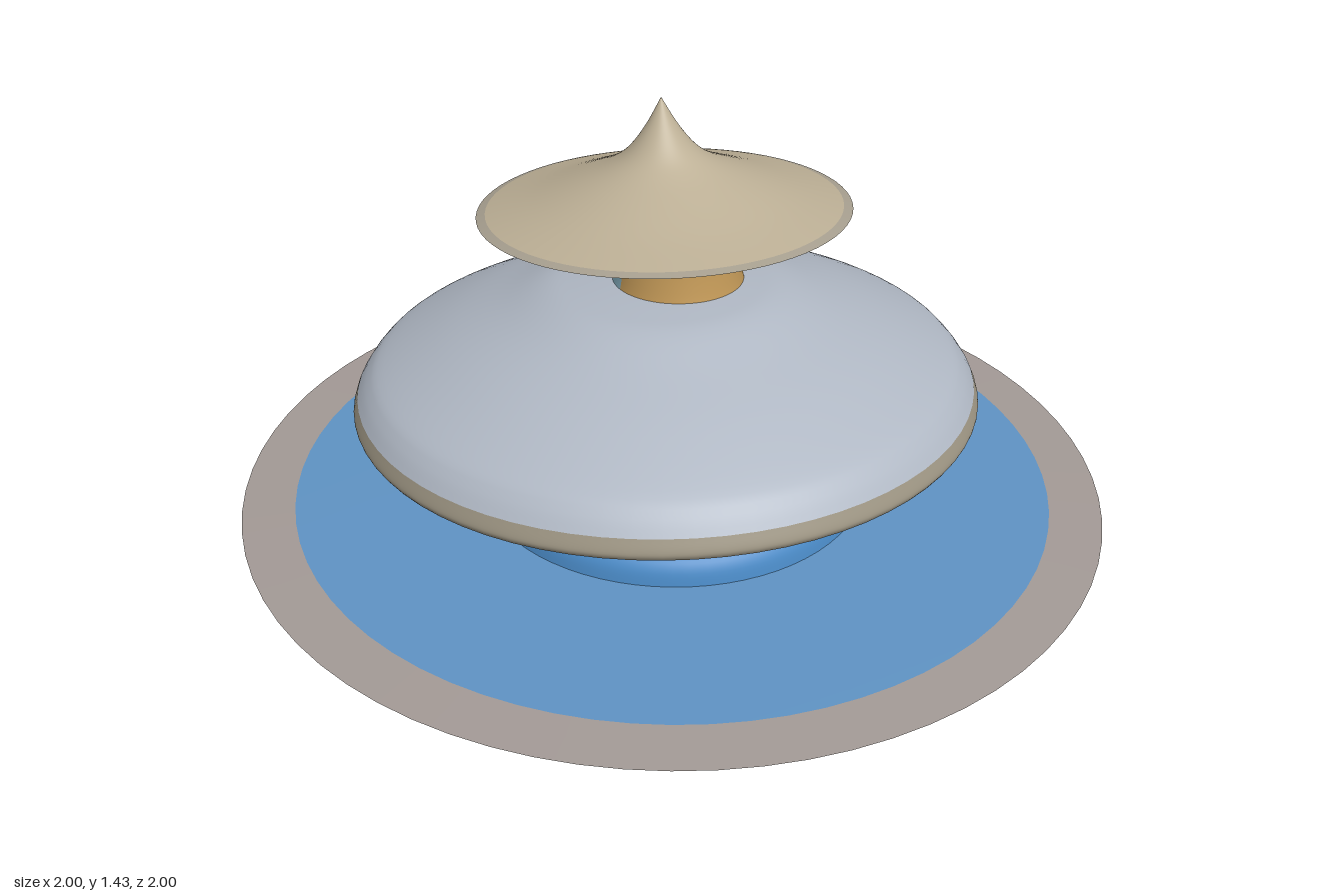
import * as THREE from 'three';

// Turned part: smooth curve through [radius, height] points.
// Points run outward for undersides, inward/upward for tops, so faces point outside.
function turned(name, color, pts, smooth = true, phiStart = 0, phiLength = Math.PI * 2) {
  let profile = pts.map(([r, y]) => new THREE.Vector2(r, y));
  if (smooth) profile = new THREE.SplineCurve(profile).getPoints(pts.length * 4);
  profile.forEach(p => { p.x = Math.max(0, p.x); });
  const mesh = new THREE.Mesh(
    new THREE.LatheGeometry(profile, 72, phiStart, phiLength),
    new THREE.MeshStandardMaterial({ color })
  );
  mesh.name = name;
  return mesh;
}

// Group of turned parts sharing one leaning axis
function tier(name, position, tiltX, tiltZ, parts) {
  const g = new THREE.Group();
  g.name = name;
  g.position.set(...position);
  g.rotation.set(tiltX, 0, tiltZ);
  g.add(...parts);
  return g;
}

export function createModel() {
  const model = new THREE.Group();
  model.name = 'spinningTower';

  // Wide spinning-top base, with its collar and flared column
  model.add(tier('base', [0, 0.5, 0], -0.017, -0.021, [
    turned('baseTip', 0x2468a8, [[0, -0.5], [0.025, -0.49], [0.085, -0.395], [0.15, -0.3]]),
    turned('baseUnderside', 0x6688aa, [[0.15, -0.3], [0.19, -0.255], [0.25, -0.22], [0.34, -0.195],
      [0.5, -0.16], [0.72, -0.09], [0.9, -0.035], [1, 0]]),
    turned('baseRim', 0xa39a96, [[1, 0], [0.88, 0.005]], false),
    turned('baseDeck', 0x5f93c4, [[0.88, 0.005], [0.7, 0.008], [0.455, 0.01]], false),
    turned('collar', 0x4a8ac6, [[0.455, 0.005], [0.445, 0.045], [0.42, 0.07], [0.36, 0.08], [0.26, 0.08]]),
    turned('column', 0x8f9c80, [[0.26, 0.08], [0.225, 0.095], [0.195, 0.14], [0.178, 0.21],
      [0.17, 0.29], [0.17, 0.37]])
  ]));

  // Middle dome, leaning back, hollowed underneath
  model.add(tier('dome', [-0.018, 0.745, 0], -0.064, -0.021, [
    turned('domeUnderside', 0x8c8c88, [[0.1, 0.1], [0.35, 0.085], [0.6, 0.035], [0.7, 0]]),
    turned('domeRim', 0x9c9482, [[0.7, 0], [0.706, 0.015], [0.695, 0.045]]),
    turned('domeRoof', 0xb0b8c4, [[0.695, 0.045], [0.67, 0.08], [0.63, 0.112], [0.5, 0.175], [0.37, 0.227],
      [0.27, 0.268], [0.2, 0.28], [0.1, 0.288], [0, 0.288]])
  ]));

  // Neck: warm front half, cool back half
  const neck = [[0.15, 0], [0.142, 0.04], [0.136, 0.1], [0.134, 0.19]];
  model.add(tier('neck', [0.012, 1.01, 0.003], -0.03, -0.02, [
    turned('neckFront', 0xc49a58, neck, true, -Math.PI / 2, Math.PI),
    turned('neckBack', 0x86b0c0, neck, true, Math.PI / 2, Math.PI)
  ]));

  // Pointed hat roof with a flat underside
  model.add(tier('hat', [0.005, 1.18, -0.045], -0.099, -0.027, [
    turned('hatUnderside', 0x8f887c, [[0, 0.004], [0.41, 0]], false),
    turned('hatRim', 0xa8a090, [[0.41, 0], [0.39, 0.006]], false),
    turned('hatRoof', 0xbdb096, [[0.39, 0.006], [0.29, 0.034], [0.19, 0.071], [0.12, 0.102], [0.075, 0.134],
      [0.035, 0.185], [0, 0.246]])
  ]));

  return model;
}
